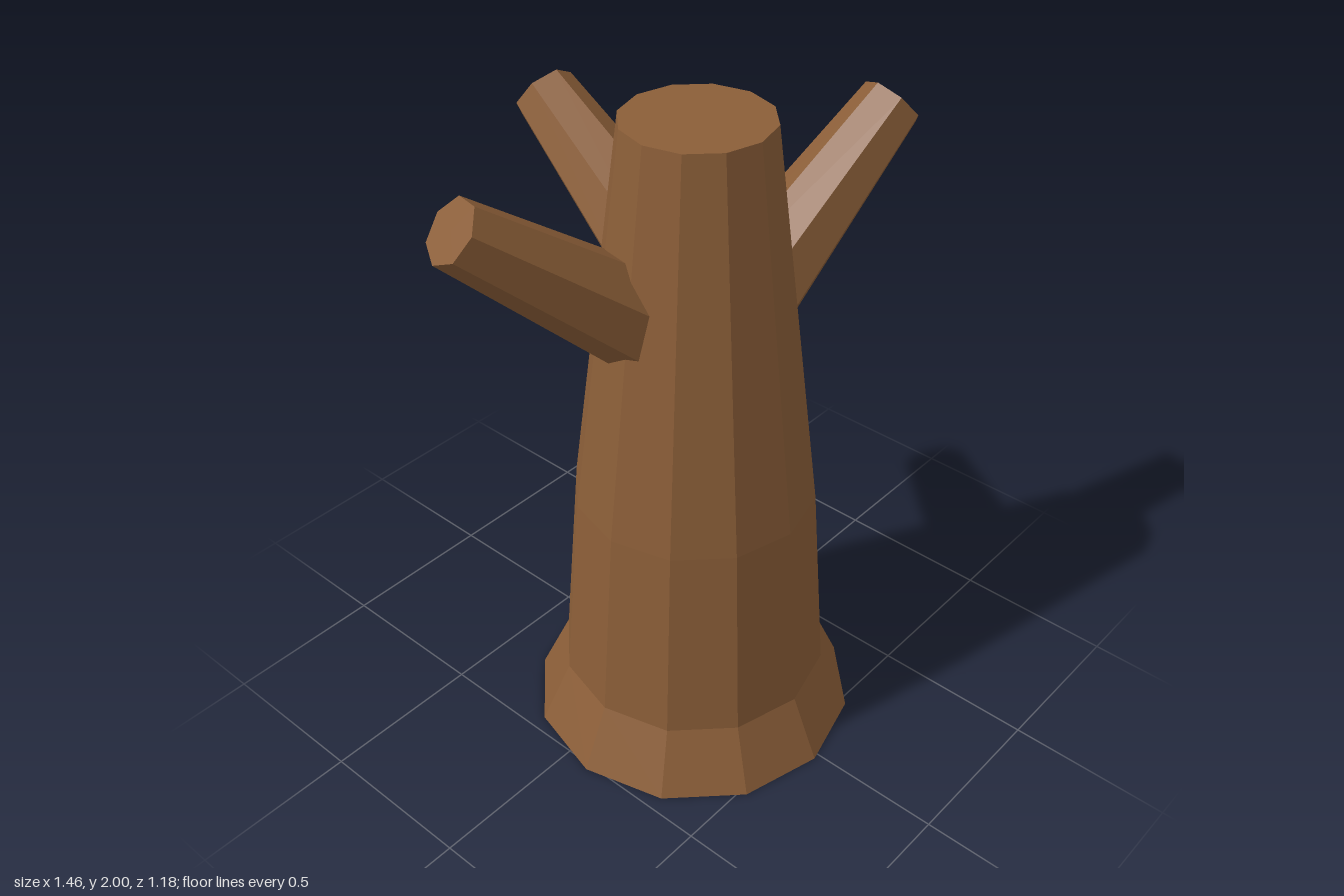
import * as THREE from 'three';

export function createModel() {
  const group = new THREE.Group();
  const bark = new THREE.MeshStandardMaterial({ color: 0x8b5e38, flatShading: true });
  bark.name = 'bark brown';
  const up = new THREE.Vector3(0, 1, 0);

  // Twelve-sided trunk with a flared foot and flat closed ends
  const profile = [[0, 0], [0.5, 0], [0.41, 0.2], [0.36, 0.83], [0.21, 2], [0, 2]]
    .map(([r, y]) => new THREE.Vector2(r, y));
  const trunk = new THREE.Mesh(new THREE.LatheGeometry(profile, 12), bark);
  trunk.name = 'trunk';
  trunk.position.set(-0.02, 0, 0.09);
  group.add(trunk);

  // Tapered branch stub running from inside the trunk out to its cut tip
  function addBranch(name, root, tip) {
    const end = new THREE.Vector3(...tip);
    const axis = end.clone().sub(new THREE.Vector3(...root));
    const length = axis.length() - 0.1;
    axis.normalize();
    const geometry = new THREE.CylinderGeometry(0.093, 0.093 + 0.085 * length, length, 7);
    geometry.translate(0, -length / 2, 0);
    const branch = new THREE.Mesh(geometry, bark);
    branch.name = name;
    branch.quaternion.setFromUnitVectors(up, axis);
    branch.position.copy(end);
    group.add(branch);
  }
  addBranch('leftBranch', [-0.02, 1.25, 0.09], [0.665, 1.85, 0.22]);
  addBranch('rightBranch', [-0.02, 1.32, 0.09], [-0.675, 1.867, -0.125]);
  addBranch('backBranch', [-0.02, 1.45, 0.09], [0.047, 1.862, -0.54]);

  return group;
}
